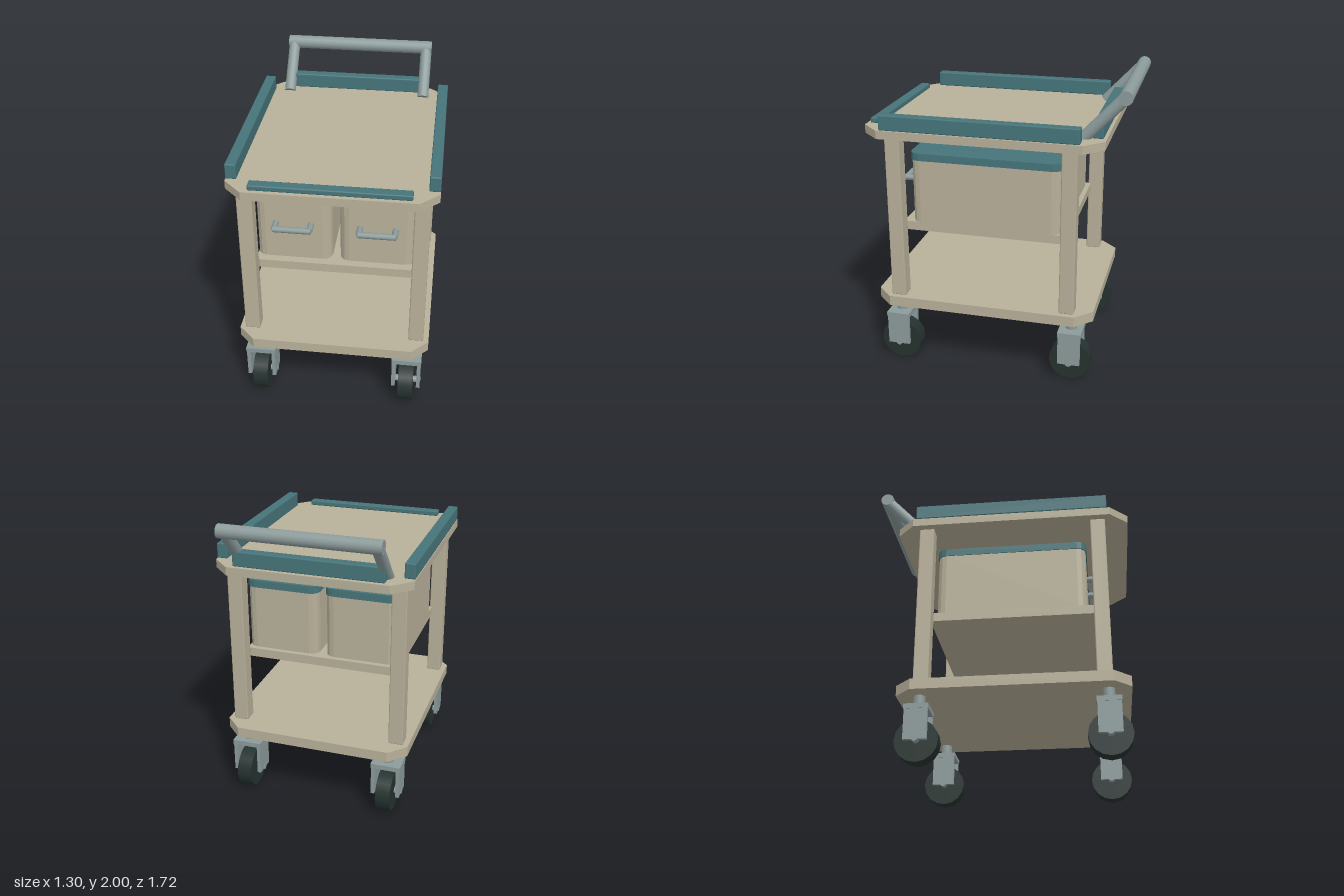
import * as THREE from 'three';
import { RoundedBoxGeometry } from 'three/addons/geometries/RoundedBoxGeometry.js';

const mat = (name, color) => Object.assign(new THREE.MeshStandardMaterial({ color }), { name });
const MID_Z = 0.0775; // centre of the frame along z

export function createModel() {
  const beige = mat('beigePanel', 0xb8b09a);
  const teal = mat('tealTrim', 0x46757a);
  const metal = mat('greyMetal', 0x8c9b9b);
  const rubber = mat('darkRubber', 0x25322f);
  const cart = new THREE.Group();
  cart.name = 'cart';

  const add = (parent, name, geometry, material, x = 0, y = 0, z = 0) => {
    const mesh = new THREE.Mesh(geometry, material);
    mesh.name = name;
    mesh.position.set(x, y, z);
    parent.add(mesh);
    return mesh;
  };
  const box = (w, h, d) => new THREE.BoxGeometry(w, h, d);
  const softBox = (w, h, d) => new RoundedBoxGeometry(w, h, d, 1, 0.008);

  // Cylinder running between two points
  const rod = (parent, name, a, b, r, material, sides = 16) => {
    const from = new THREE.Vector3(...a), to = new THREE.Vector3(...b);
    const dir = to.clone().sub(from);
    const mesh = add(parent, name, new THREE.CylinderGeometry(r, r, dir.length(), sides), material);
    mesh.position.copy(from).add(to).multiplyScalar(0.5);
    mesh.quaternion.setFromUnitVectors(new THREE.Vector3(0, 1, 0), dir.normalize());
    return mesh;
  };

  // Upright slab whose corners are cut (steps = 1) or rounded, base at y = 0
  const slab = (w, d, h, r, steps = 1) => {
    const pts = [];
    [[1, 1], [-1, 1], [-1, -1], [1, -1]].forEach(([sx, sy], i) => {
      for (let k = 0; k <= steps; k++) {
        const a = (i + k / steps) * Math.PI / 2;
        pts.push(new THREE.Vector2(sx * (w / 2 - r) + r * Math.cos(a), sy * (d / 2 - r) + r * Math.sin(a)));
      }
    });
    const g = new THREE.ExtrudeGeometry(new THREE.Shape(pts), { depth: h, bevelEnabled: false });
    return g.rotateX(-Math.PI / 2);
  };

  // Shelves
  add(cart, 'topShelf', slab(1.3, 1.565, 0.055, 0.12), beige, 0, 1.63, 0.075);
  add(cart, 'middleShelf', slab(1.03, 1.09, 0.06, 0.02), beige, 0, 0.97, MID_Z);
  add(cart, 'bottomShelf', slab(1.27, 1.49, 0.07, 0.11), beige, 0, 0.445, 0.075);

  // Rails around the top
  for (const s of [-1, 1]) add(cart, 'sideRail', softBox(0.07, 0.1, 1.29), teal, s * 0.615, 1.737, 0.075);
  add(cart, 'frontRail', softBox(0.985, 0.035, 0.07), teal, 0, 1.703, 0.8);
  add(cart, 'backRail', softBox(0.985, 0.1, 0.07), teal, 0, 1.737, -0.655);

  // Push handle
  const handle = new THREE.Group();
  handle.name = 'pushHandle';
  cart.add(handle);
  rod(handle, 'handleBar', [-0.515, 1.955, -0.815], [0.515, 1.955, -0.815], 0.045, metal);
  for (const s of [-1, 1])
    rod(handle, 'handleArm', [s * 0.477, 1.683, -0.56], [s * 0.477, 1.955, -0.815], 0.039, metal);

  // Two lidded bins with pull handles
  for (const s of [-1, 1]) {
    const bin = new THREE.Group();
    bin.name = 'bin';
    bin.position.set(s * 0.27, 0, 0);
    cart.add(bin);
    add(bin, 'binBody', slab(0.49, 1.0, 0.43, 0.06, 3), beige, 0, 1.03, 0.066);
    add(bin, 'binLid', slab(0.5, 1.012, 0.05, 0.062, 3), teal, 0, 1.46, 0.066);
    rod(bin, 'binPull', [-0.12, 1.292, 0.645], [0.12, 1.292, 0.645], 0.02, metal, 12);
    for (const t of [-1, 1])
      rod(bin, 'binPullStem', [t * 0.113, 1.292, 0.56], [t * 0.113, 1.292, 0.645], 0.02, metal, 12);
  }

  // Posts and casters at the four corners
  for (const sx of [-1, 1]) for (const sz of [-1, 1]) {
    add(cart, 'post', softBox(0.1, 1.12, 0.1), beige, sx * 0.55, 1.073, MID_Z + sz * 0.5775);

    const caster = new THREE.Group();
    caster.name = 'caster';
    caster.position.set(sx * 0.497, 0, 0.076 + sz * 0.598);
    cart.add(caster);
    rod(caster, 'casterStem', [0, 0.355, 0], [0, 0.45, 0], 0.039, metal);
    add(caster, 'forkTop', box(0.2, 0.033, 0.158), metal, 0, 0.349, 0);
    for (const t of [-1, 1]) add(caster, 'forkSide', box(0.025, 0.205, 0.15), metal, t * 0.085, 0.234, 0);
    rod(caster, 'axle', [-0.1, 0.14, 0], [0.1, 0.14, 0], 0.022, metal, 12);
    rod(caster, 'wheel', [-0.05, 0.14, 0], [0.05, 0.14, 0], 0.14, rubber, 16);
  }
  return cart;
}
